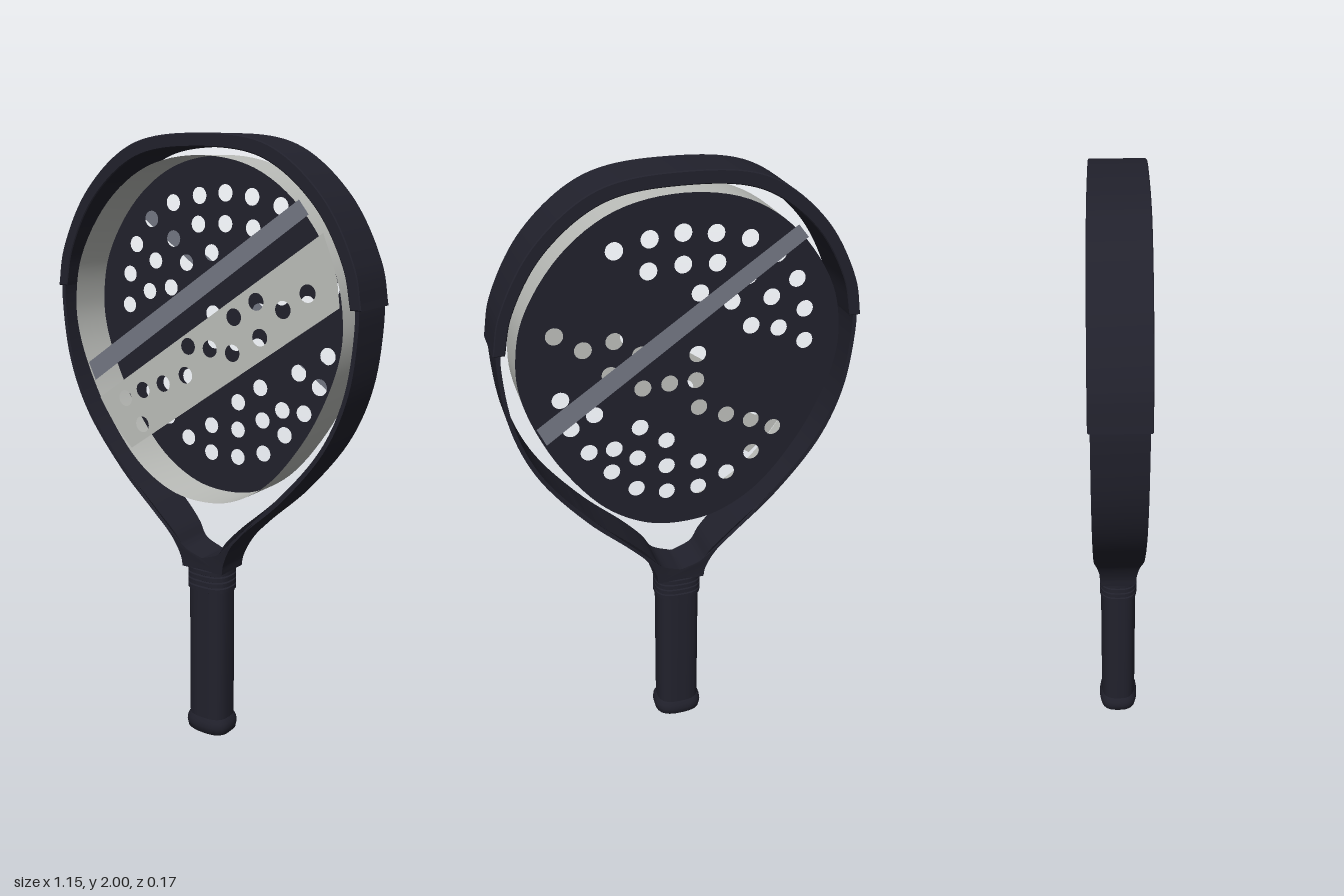
import * as THREE from 'three';
import { toCreasedNormals } from 'three/addons/utils/BufferGeometryUtils.js';

const mat = (name, color, side = THREE.FrontSide) => {
  const m = new THREE.MeshStandardMaterial({ color, side });
  m.name = name;
  return m;
};

// Mirror a right-hand profile (bottom to top) and smooth it into a 2D outline
function outline(half, closed, n = 120) {
  const left = half.filter(p => p[0] !== 0).reverse().map(([x, y]) => [-x, y]);
  // a closed profile starting on the axis keeps its order when wrapped round
  const pts = [...half, ...left].map(([x, y]) => new THREE.Vector3(x, y, 0));
  return new THREE.CatmullRomCurve3(pts, closed).getPoints(n).map(p => new THREE.Vector2(p.x, p.y));
}

// Stack of rounded-rectangle rings [y, halfWidth, halfDepth], closed at both ends
function loft(rings, n = 40) {
  const pos = [], idx = [];
  const sq = v => Math.sign(v) * Math.pow(Math.abs(v), 0.72);
  for (const [y, rx, rz] of rings)
    for (let i = 0; i < n; i++) {
      const a = (i / n) * Math.PI * 2;
      pos.push(rx * sq(Math.cos(a)), y, rz * sq(Math.sin(a)));
    }
  for (let r = 0; r < rings.length - 1; r++)
    for (let i = 0; i < n; i++) {
      const a = r * n + i, b = r * n + (i + 1) % n;
      idx.push(a, a + n, b, b, a + n, b + n);
    }
  const g = new THREE.BufferGeometry();
  g.setAttribute('position', new THREE.Float32BufferAttribute(pos, 3));
  g.setIndex(idx);
  return toCreasedNormals(g, 0.7);
}

// Extrude centred on z = 0
function slab(shape, halfDepth, bevel = 0) {
  const g = new THREE.ExtrudeGeometry(shape, {
    depth: 2 * (halfDepth - bevel), bevelEnabled: bevel > 0, bevelSize: bevel,
    bevelThickness: bevel, bevelOffset: -bevel, bevelSegments: 1,
  });
  return g.translate(0, 0, -(halfDepth - bevel));
}

export function createModel() {
  const group = new THREE.Group();
  const dark = mat('dark navy', 0x21212c);
  const darkFace = mat('dark face', 0x21212c, THREE.DoubleSide);
  const light = mat('light grey', 0xbcbebA, THREE.DoubleSide);
  const steel = mat('steel grey', 0x737783, THREE.DoubleSide);
  const add = (name, geo, material) => {
    const m = new THREE.Mesh(geo, material);
    m.name = name;
    group.add(m);
    return m;
  };

  // Frame: thin hoop that narrows into the throat
  const frameShape = new THREE.Shape(outline([
    [0.08, 0.6], [0.086, 0.635], [0.12, 0.705], [0.178, 0.77], [0.317, 0.9], [0.465, 1.087],
    [0.537, 1.26], [0.563, 1.45], [0.561, 1.53], [0.536, 1.64], [0.43, 1.812], [0.25, 1.952], [0, 1.986],
  ], false, 160));
  frameShape.holes.push(new THREE.Path(outline([
    [0.004, 0.645], [0.07, 0.672], [0.1, 0.715], [0.166, 0.783], [0.307, 0.912], [0.453, 1.093],
    [0.524, 1.263], [0.55, 1.45], [0.548, 1.528], [0.523, 1.636], [0.42, 1.802], [0.245, 1.938], [0, 1.972],
  ], false, 160)));
  const frameGeo = slab(frameShape, 0.08);
  const fp = frameGeo.attributes.position;
  for (let i = 0; i < fp.count; i++) {
    const k = THREE.MathUtils.smoothstep(fp.getY(i), 0.6, 0.8);
    fp.setZ(i, fp.getZ(i) * (0.74 + 0.26 * k));
  }
  add('frame', toCreasedNormals(frameGeo, 0.6), dark);

  // Bumper guard over the upper rim
  const outer = outline([[0.573, 1.51], [0.548, 1.63], [0.44, 1.822], [0.254, 1.966], [0, 2]], false, 80);
  const inner = outline([[0.537, 1.51], [0.509, 1.63], [0.41, 1.798], [0.235, 1.928], [0, 1.959]], false, 80);
  const bumper = new THREE.Shape([...outer, ...inner.reverse()]);
  add('bumperGuard', toCreasedNormals(slab(bumper, 0.087, 0.003), 0.6), dark);

  // Hitting face outline
  const facePts = outline([
    [0, 0.844], [0.12, 0.862], [0.254, 0.94], [0.386, 1.1], [0.46, 1.24], [0.5, 1.36],
    [0.509, 1.46], [0.48, 1.61], [0.36, 1.79], [0.2, 1.9], [0, 1.935],
  ], true, 120);

  // Drilled holes: those clear of the wide band, then those that pass through it
  const plainHoles = [
    [-.10, 1.81], [0, 1.82], [.10, 1.81], [.205, 1.785], [-.205, 1.785], [-.295, 1.73], [-.36, 1.645],
    [-.39, 1.545], [-.395, 1.44], [-.105, 1.72], [0, 1.725], [.105, 1.715], [-.205, 1.67], [-.28, 1.595],
    [-.307, 1.492], [-.153, 1.595], [-.217, 1.51], [-.053, 1.632], [-.047, 1.437], [-.148, 1.008],
    [-.053, 1.063], [-.053, .97], [.053, 1.155], [.053, 1.063], [.053, .97], [.138, 1.213], [.148, 1.107],
    [.153, .997], [.222, 1.15], [.232, 1.07], [.28, 1.277], [.302, 1.15], [.355, 1.24], [.382, 1.34],
  ];
  const bandHoles = [
    [-.042, 1.35], [.042, 1.35], [.127, 1.345], [.227, 1.403], [.132, 1.457], [.212, 1.51], [.307, 1.493],
    [.39, 1.547], [-.053, 1.256], [-.143, 1.218], [-.227, 1.187], [-.302, 1.15], [-.232, 1.07],
  ];
  const drill = (shape, holes) => {
    for (const [x, y] of holes) shape.holes.push(new THREE.Path().absarc(x, y, 0.027, 0, Math.PI * 2, true));
    return new THREE.ShapeGeometry(shape, 10);
  };
  add('backFace', drill(new THREE.Shape(facePts), [...plainHoles, ...bandHoles]), darkFace).position.z = -0.072;

  // Core wall: an open sleeve following the face outline
  const wall = new THREE.PlaneGeometry(1, 1, 120, 1);
  const wp = wall.attributes.position;
  for (let i = 0; i < wp.count; i++) {
    const p = facePts[i % 121];
    wp.setXYZ(i, p.x, p.y, i < 121 ? -0.072 : 0.072);
  }
  add('coreWall', toCreasedNormals(wall, 0.6), light);

  // Diagonal bands
  const poly = pts => new THREE.Shape(pts.map(([x, y]) => new THREE.Vector2(x, y)));
  const wide = poly([[-.413, 1.14], [-.386, 1.1], [-.345, 1.043], [-.28, .982], [.497, 1.513],
    [.487, 1.59], [.465, 1.655], [.437, 1.722]]);
  add('wideBand', drill(wide, bandHoles), light).position.z = 0.073;
  const narrow = new THREE.ShapeGeometry(poly([[-.46, 1.255], [-.432, 1.197], [.388, 1.772], [.355, 1.813]]));
  add('frontNarrowBand', narrow, steel).position.z = 0.073;
  const back = add('backNarrowBand', narrow, steel);
  back.position.z = -0.075;
  back.rotation.y = Math.PI;

  // Handle: rounded butt cap, grip and ribbed collar
  add('buttCap', loft([[0, 0, 0], [0, .072, .056], [.008, .08, .064], [.03, .084, .068], [.045, .082, .066],
    [.06, .074, .06], [.06, 0, 0]]), dark);
  add('grip', loft([[.05, .073, .06], [.54, .073, .06]]), dark);
  for (let i = 0; i < 4; i++) {
    const y = 0.523 + i * 0.02;
    add('collarRing', loft([[y, .07, .058], [y + .003, .079, .064], [y + .017, .079, .064], [y + .02, .07, .058]]), dark);
  }
  add('throat', loft([[.59, .07, .055], [.605, .08, .06], [.625, .08, .058], [.64, .04, .05], [.642, 0, 0]]), dark);
  return group;
}
